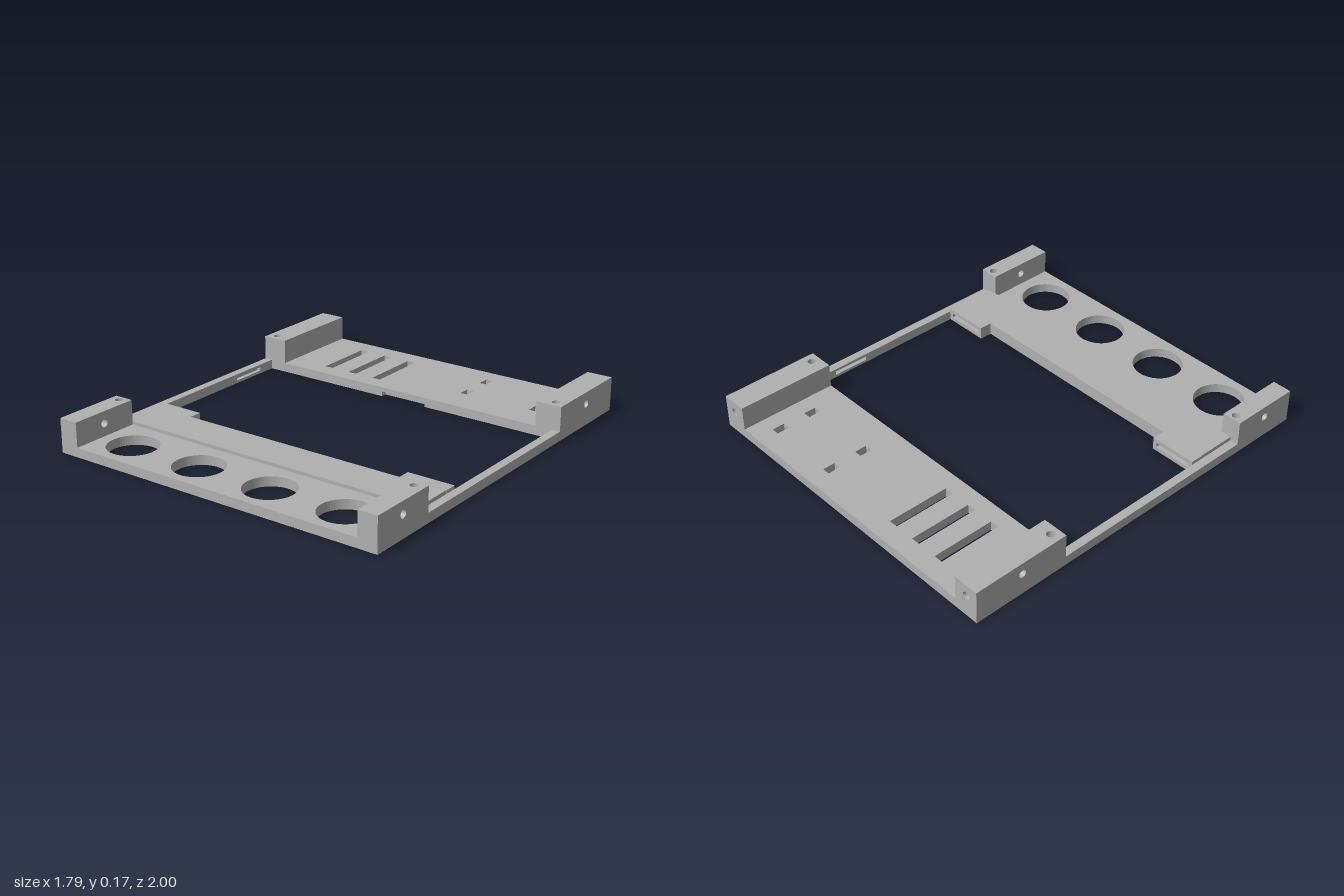
import * as THREE from 'three';

const T = 0.048;  // base thickness
const H = 0.172;  // block height
const W = 0.893;  // half width

export function createModel() {
  const model = new THREE.Group();
  model.name = 'mountingFrame';
  const grey = new THREE.MeshStandardMaterial({ color: 0xb0b0b0 });
  grey.name = 'plainGrey';

  const add = (name, geometry, parent = model) => {
    const mesh = new THREE.Mesh(geometry, grey);
    mesh.name = name;
    parent.add(mesh);
    return mesh;
  };
  const box = (name, [x0, x1], [y0, y1], [z0, z1], parent) => {
    const m = add(name, new THREE.BoxGeometry(Math.abs(x1 - x0), y1 - y0, z1 - z0), parent);
    m.position.set((x0 + x1) / 2, (y0 + y1) / 2, (z0 + z1) / 2);
    return m;
  };
  const rect = (a0, a1, b0, b1, Kind = THREE.Path) => {
    const p = new Kind();
    p.moveTo(a0, b0);
    p.lineTo(a1, b0);
    p.lineTo(a1, b1);
    p.lineTo(a0, b1);
    p.closePath();
    return p;
  };
  const circle = (a, b, r) => new THREE.Path().absarc(a, b, r, 0, Math.PI * 2, true);

  // Rectangular block pierced along one axis; holes are given in the block's own
  // plane: (x, -z) along y, (-z, y) along x, (x, y) along z
  const pierced = (name, axis, xs, ys, zs, holes, parent) => {
    const [x0, x1] = [Math.min(...xs), Math.max(...xs)];
    const [y0, y1] = ys;
    const [z0, z1] = zs;
    const outline = {
      x: () => rect(-z1, -z0, y0, y1, THREE.Shape),
      y: () => rect(x0, x1, -z1, -z0, THREE.Shape),
      z: () => rect(x0, x1, y0, y1, THREE.Shape),
    }[axis]();
    outline.holes.push(...holes);
    const depth = { x: x1 - x0, y: y1 - y0, z: z1 - z0 }[axis];
    const g = new THREE.ExtrudeGeometry(outline, { depth, bevelEnabled: false, curveSegments: 32 });
    if (axis === 'x') g.rotateY(Math.PI / 2).translate(x0, 0, 0);
    if (axis === 'y') g.rotateX(-Math.PI / 2).translate(0, y0, 0);
    if (axis === 'z') g.translate(0, 0, z0);
    return add(name, g, parent);
  };

  // Front plate with four round openings
  pierced('frontPlate', 'y', [-W, W], [0, T], [0.635, 1],
    [-0.607, -0.203, 0.203, 0.607].map((x) => circle(x, -0.828, 0.125)));

  // Back plate with three vents and four small windows
  const windows = [-0.533, -0.382, -0.23].map((x) => rect(x - 0.023, x + 0.023, 0.575, 0.9));
  for (const x of [0.255, 0.65])
    for (const z of [0.87, 0.685]) windows.push(rect(x - 0.02, x + 0.02, z - 0.032, z + 0.032));
  pierced('backPlate', 'y', [-W, W], [0, T], [-1, -0.52], windows);

  // Inner edge of the back plate, with a shallow notch beneath its middle
  box('backPlateEdge', [-W, W], [0.025, T], [-0.52, -0.488]);
  for (const s of [-1, 1]) box('backPlateLip', [s * 0.13, s * W], [0, 0.025], [-0.52, -0.488]);

  // Raised cross bar
  box('crossBar', [-0.848, 0.848], [0, 0.065], [0.43, 0.637]);

  for (const s of [-1, 1]) {
    const side = new THREE.Group();
    side.name = s > 0 ? 'leftSide' : 'rightSide';
    model.add(side);

    // Side rail with a pocket in its inner face
    box('railFront', [s * 0.85, s * W], [0, T], [-0.2, 0.635], side);
    box('railBack', [s * 0.85, s * W], [0, T], [-0.488, -0.39], side);
    box('railOuterWall', [s * 0.872, s * W], [0, T], [-0.39, -0.2], side);
    box('railPocketFloor', [s * 0.85, s * 0.872], [0, 0.014], [-0.39, -0.2], side);
    box('railPocketRoof', [s * 0.85, s * 0.872], [0.034, T], [-0.39, -0.2], side);

    // Cross bar tab with a slot in its rear face
    pierced('slottedTab', 'z', [s * 0.607, s * 0.85], [0, 0.065], [0.365, 0.43],
      [rect(s * 0.728 - 0.1, s * 0.728 + 0.1, 0.022, 0.045)], side);

    // Front corner block: blind hole on top, cross hole right through
    const fx = [s * 0.793, s * W];
    pierced('frontBlockTopHole', 'y', fx, [T, H], [0.635, 0.705], [circle(s * 0.842, -0.667, 0.02)], side);
    pierced('frontBlockCrossHole', 'x', fx, [T, H], [0.705, 1], [circle(-0.82, 0.112, 0.02)], side);

    // Back corner block: blind holes on top, on the outer side and at the rear
    const bx = [s * 0.76, s * W];
    pierced('backBlockTopHole', 'y', bx, [T, H], [-0.57, -0.488], [circle(s * 0.842, -(-0.532), 0.02)], side);
    box('backBlockCore', [s * 0.76, s * 0.82], [T, H], [-0.92, -0.57], side);
    pierced('backBlockSideHole', 'x', [s * 0.82, s * W], [T, H], [-0.92, -0.57], [circle(0.742, 0.112, 0.02)], side);
    pierced('backBlockRearHole', 'z', bx, [T, H], [-1, -0.92], [circle(s * 0.83, 0.112, 0.02)], side);
  }
  return model;
}
